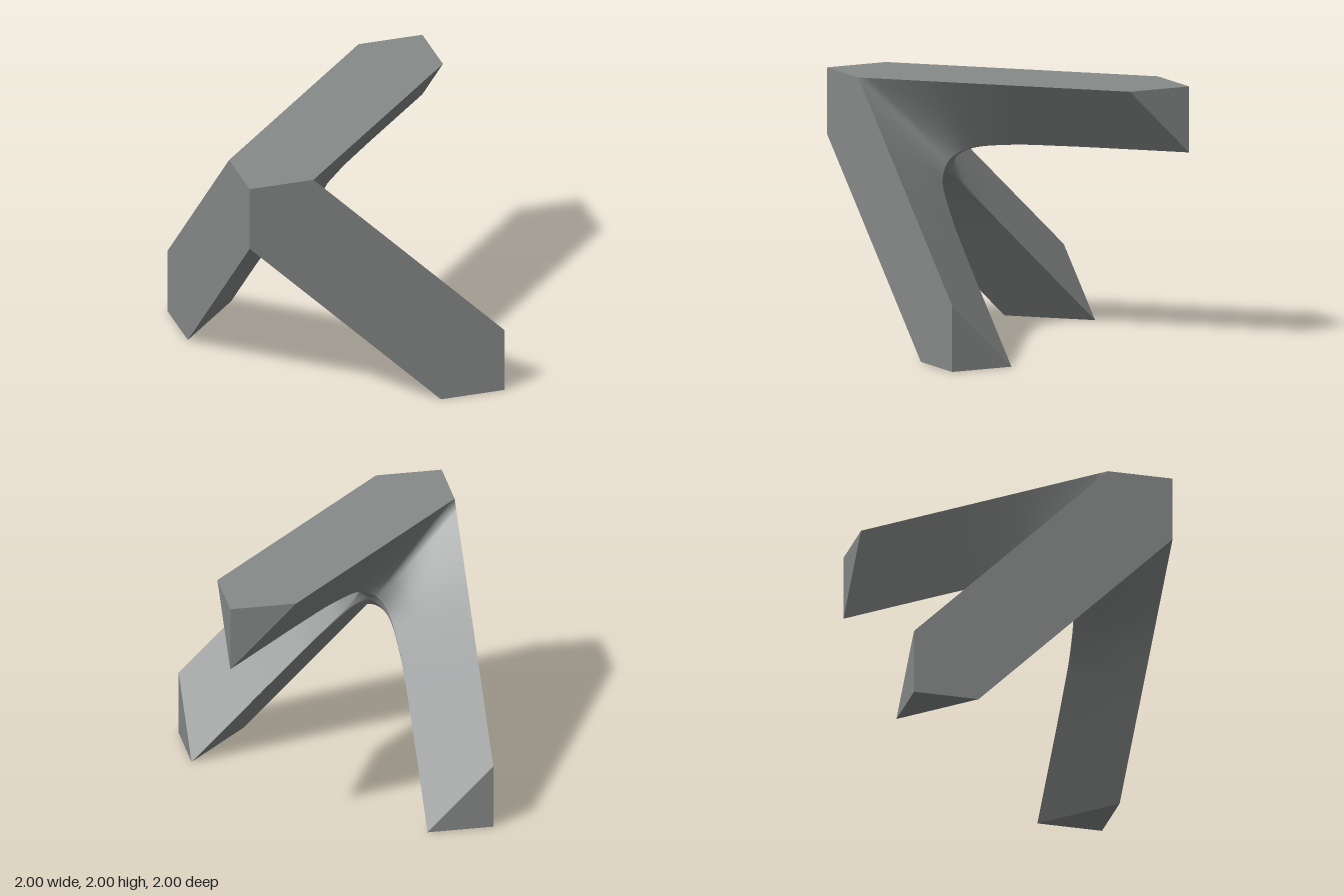
import * as THREE from 'three';
import { mergeGeometries, mergeVertices } from 'three/addons/utils/BufferGeometryUtils.js';

// Coordinates (a, b, c) run 0..2 away from the cube corner where the three struts meet.
const toModel = (a, b, c) => [a - 1, 2 - b, 1 - c];
// Cyclic swap of the axes carries one third of the model onto the next.
const turn = ([a, b, c], n) => (n === 0 ? [a, b, c] : n === 1 ? [c, a, b] : [b, c, a]);

function geometryFrom(points, index, n) {
  const g = new THREE.BufferGeometry();
  const pos = points.flatMap((p) => toModel(...turn(p, n)));
  g.setAttribute('position', new THREE.Float32BufferAttribute(pos, 3));
  g.setIndex(index);
  return g;
}

// Strip of quads between two matching rows of points, with extra rows in between.
function strip(row0, row1, n, steps) {
  const points = [], index = [], w = row0.length;
  for (let j = 0; j <= steps; j++)
    for (let i = 0; i < w; i++)
      points.push(row0[i].map((v, k) => v + (row1[i][k] - v) * j / steps));
  for (let j = 0; j < steps; j++)
    for (let i = 0; i < w - 1; i++) {
      const e = j * w + i, a = e + w;
      index.push(e, a, e + 1, a, a + 1, e + 1);
    }
  return geometryFrom(points, index, n);
}

// Rounded inner edge running from one strut's ridge to the next strut's ridge.
const half = [[2, 2, 0.5], [1.65, 1.65, 0.5], [1.3, 1.3, 0.502], [1.01, 1.005, 0.513],
  [0.797, 0.765, 0.556], [0.755, 0.636, 0.636]];
const foot = [1.5, 1.4, 1.05, 0.75, 0.4, 0]; // matching distances along the straight outer edge
const SEG = 6, MID = (half.length - 1) * SEG, CENTRE = 0.68;
const swap = ([a, b, c]) => [a, c, b];
const keys = [...half, ...half.slice(0, -1).reverse().map(swap)];
const curve = new THREE.CatmullRomCurve3(keys.map((p) => new THREE.Vector3(...p)));

const ridge = [], edge = [], spine = [];
for (let i = 0; i <= 2 * MID; i++) {
  ridge.push(curve.getPoint(i / (2 * MID)).toArray());
  const m = Math.min(i, 2 * MID - i), k = Math.min(Math.floor(m / SEG), half.length - 2);
  const t = THREE.MathUtils.lerp(foot[k], foot[k + 1], m / SEG - k);
  edge.push(i <= MID ? [0.5 + t, t, 0] : [0.5 + t, 0, t]);
}
// Middle line of the central web, from the strut ridges to the centre point.
const last = half[half.length - 1];
const lastMid = (last[0] + last[1]) / 2;
for (let i = 0; i <= 2 * MID; i++) {
  const p = i <= MID ? ridge[i] : swap(ridge[i]);
  const s = Math.max(0, Math.min(i, 2 * MID - i) / MID * 2 - 1) ** 3;
  const ab = (p[0] + p[1]) / 2 + s * (CENTRE - lastMid);
  const q = [ab, ab, p[2] + s * (CENTRE - last[2])];
  spine.push(i <= MID ? q : swap(q));
}

export function createModel() {
  const grey = new THREE.MeshStandardMaterial({ color: 0x868a89 });
  grey.name = 'grey';
  const model = new THREE.Group();
  model.name = 'threeStrutCorner';
  const add = (name, geometry, parent) => {
    const mesh = new THREE.Mesh(geometry, grey);
    mesh.name = name;
    parent.add(mesh);
  };

  const webs = [];
  for (let n = 0; n < 3; n++) {
    const strut = new THREE.Group();
    strut.name = ['frontStrut', 'sideStrut', 'topStrut'][n];
    model.add(strut);

    // flat outer band lying on a cube face
    const band = [[0, 0, 0], [0, 0.5, 0], [1.5, 2, 0], [2, 2, 0], [2, 1.5, 0], [0.5, 0, 0]];
    const outer = geometryFrom(band, [0, 1, 2, 0, 2, 3, 0, 3, 4, 0, 4, 5], n).toNonIndexed();
    outer.computeVertexNormals();
    add('outerBand', outer, strut);

    // two triangular end faces
    const tip = [[2, 1.5, 0], [2, 2, 0], [2, 2, 0.5], [1.5, 2, 0]];
    const end = geometryFrom(tip, [0, 1, 2, 1, 3, 2], n).toNonIndexed();
    end.computeVertexNormals();
    add('endFaces', end, strut);

    // inner side surface shared by two neighbouring struts
    const side = strip(edge, ridge, n, 6);
    side.computeVertexNormals();
    add('innerSide', side, strut);

    // share of the central web, past where the ridge splits in two
    const from = 2 * SEG, to = 2 * MID - 2 * SEG + 1;
    webs.push(strip(ridge.slice(from, to), spine.slice(from, to), n, 4));
  }

  // smooth three-pointed web in the middle
  const web = mergeVertices(mergeGeometries(webs), 1e-4);
  web.computeVertexNormals();
  add('centralWeb', web, model);
  return model;
}
